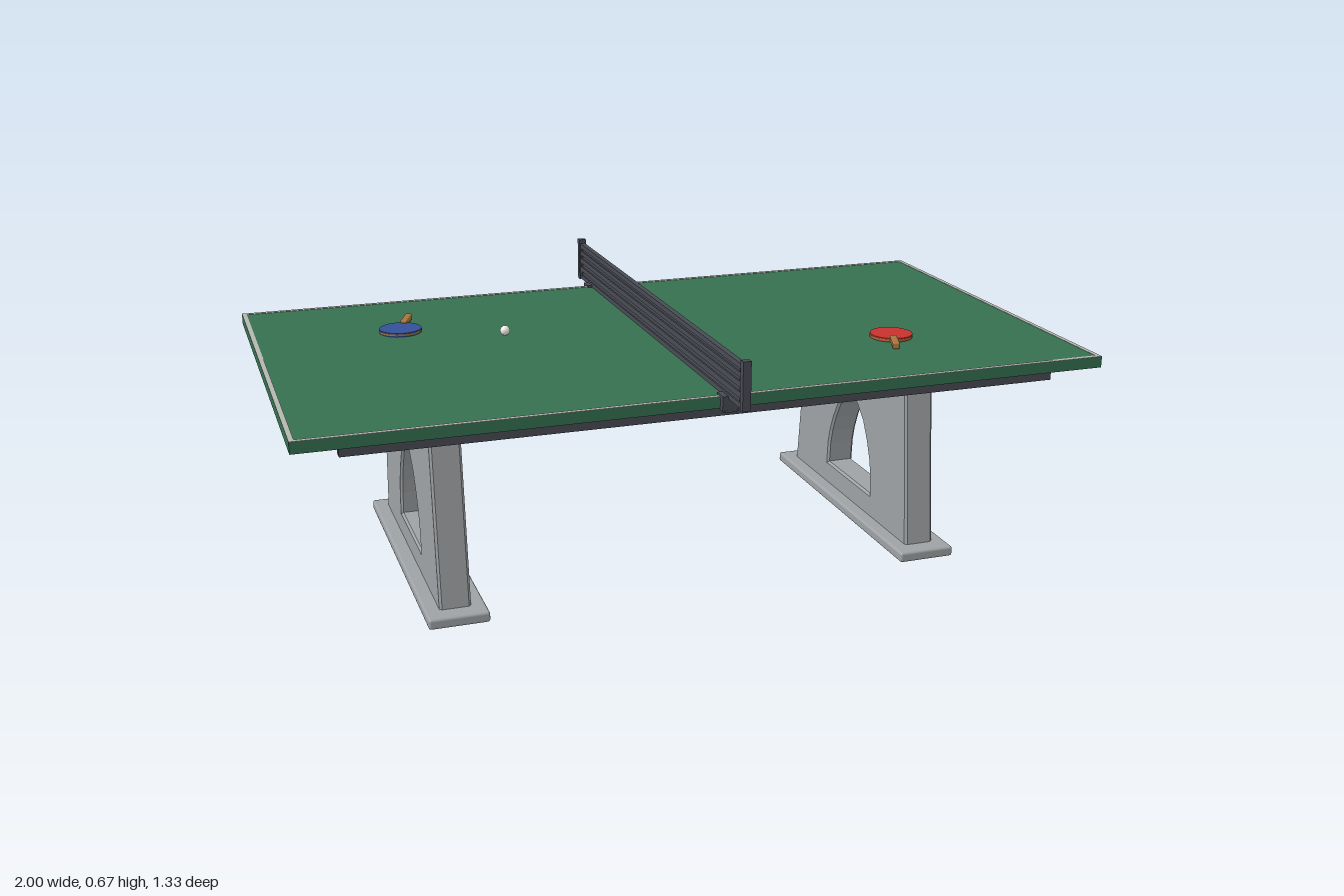
import * as THREE from 'three';
import { RoundedBoxGeometry } from 'three/addons/geometries/RoundedBoxGeometry.js';

const mat = (color) => new THREE.MeshStandardMaterial({ color });
const GREEN = mat(0x35704f), EDGE = mat(0xb4b6b0), DARK = mat(0x4a4c55), STONE = mat(0x9ea2a5);
const WOOD = mat(0xa8763e), RED = mat(0xc8322c), BLUE = mat(0x34509a), WHITE = mat(0xf0f0ea);

function add(parent, name, geometry, material, x = 0, y = 0, z = 0) {
  const mesh = new THREE.Mesh(geometry, material);
  mesh.name = name;
  mesh.position.set(x, y, z);
  parent.add(mesh);
  return mesh;
}

// Box given by its size and the height of its underside
function box(parent, name, material, w, h, d, x, y, z) {
  return add(parent, name, new THREE.BoxGeometry(w, h, d), material, x, y + h / 2, z);
}

// Tapered slab leg with an arched opening, on a wide rounded foot
function makeLeg(x) {
  const leg = new THREE.Group();
  leg.name = 'leg';
  const b = 0.006;
  const slab = new THREE.Shape([[-0.36, 0.025], [0.36, 0.025], [0.306, 0.525], [-0.306, 0.525]]
    .map(([z, y]) => new THREE.Vector2(z + (z > 0 ? -b : b), y)));
  const half = [[0.137, 0.088], [0.133, 0.14], [0.124, 0.18], [0.105, 0.228], [0.078, 0.277], [0.04, 0.314]];
  const arch = [...half, [0, 0.326], ...half.map(([z, y]) => [-z, y]).reverse()];
  slab.holes.push(new THREE.Path(arch.map(([z, y]) => new THREE.Vector2(z * 1.04, y + (y > 0.1 ? b : -b)))));
  const geo = new THREE.ExtrudeGeometry(slab, {
    depth: 0.078 - 2 * b, bevelEnabled: true, bevelSize: b, bevelThickness: b, bevelSegments: 1,
  });
  geo.translate(0, 0, -0.039 + b).rotateY(-Math.PI / 2);
  add(leg, 'legSlab', geo, STONE);
  add(leg, 'foot', new RoundedBoxGeometry(0.15, 0.027, 0.815, 2, 0.007), STONE, 0, 0.0135, 0);
  box(leg, 'legCap', DARK, 0.086, 0.01, 0.64, 0, 0.52, 0);
  leg.position.x = x;
  return leg;
}

// Paddle lying flat, handle towards local +z
function makePaddle(name, rubber, x, z, turn) {
  const paddle = new THREE.Group();
  paddle.name = name;
  add(paddle, 'blade', new THREE.CylinderGeometry(0.056, 0.056, 0.004, 32), WOOD, 0, 0.005, 0);
  for (const y of [0.0015, 0.0085]) {
    add(paddle, 'rubber', new THREE.CylinderGeometry(0.055, 0.055, 0.003, 32), rubber, 0, y, 0);
  }
  add(paddle, 'handle', new RoundedBoxGeometry(0.018, 0.017, 0.075, 2, 0.004), WOOD, 0, 0.009, 0.083);
  paddle.position.set(x, 0.558, z);
  paddle.rotation.y = turn;
  return paddle;
}

// Slatted net panel with end posts and table clamps
function makeNet() {
  const net = new THREE.Group();
  net.name = 'net';
  box(net, 'netPanel', DARK, 0.006, 0.1, 1.29, 0, 0.56, 0);
  for (const [y, h] of [[0.558, 0.012], [0.581, 0.014], [0.606, 0.014], [0.63, 0.012], [0.65, 0.013]]) {
    box(net, 'netSlat', DARK, 0.014, h, 1.3, 0, y, 0);
  }
  for (const s of [-1, 1]) {
    box(net, 'netPost', DARK, 0.02, 0.118, 0.017, 0, 0.556, s * 0.657);
    box(net, 'netEndFrame', DARK, 0.014, 0.104, 0.012, 0, 0.558, s * 0.643);
    box(net, 'clampTop', DARK, 0.04, 0.008, 0.04, 0, 0.556, s * 0.55);
    box(net, 'clampSide', DARK, 0.04, 0.036, 0.016, 0, 0.526, s * 0.56);
    box(net, 'clampBottom', DARK, 0.03, 0.006, 0.035, 0, 0.524, s * 0.551);
  }
  return net;
}

export function createModel() {
  const model = new THREE.Group();
  model.name = 'tableTennisTable';

  // Playing surface with a pale border strip and long rails beneath
  box(model, 'tableTop', GREEN, 2, 0.028, 1.1, 0, 0.53, 0);
  for (const s of [-1, 1]) {
    box(model, 'longBorder', EDGE, 2, 0.001, 0.012, 0, 0.558, s * 0.544);
    box(model, 'endBorder', EDGE, 0.012, 0.001, 1.076, s * 0.994, 0.558, 0);
    box(model, 'underRail', DARK, 1.78, 0.038, 0.026, 0, 0.493, s * 0.485);
    model.add(makeLeg(s * 0.62));
  }

  model.add(makeNet());
  model.add(makePaddle('redPaddle', RED, 0.583, 0.216, -0.35));
  model.add(makePaddle('bluePaddle', BLUE, -0.62, -0.237, Math.PI - 0.37));
  add(model, 'ball', new THREE.SphereGeometry(0.013, 20, 14), WHITE, -0.367, 0.571, -0.115);
  return model;
}
